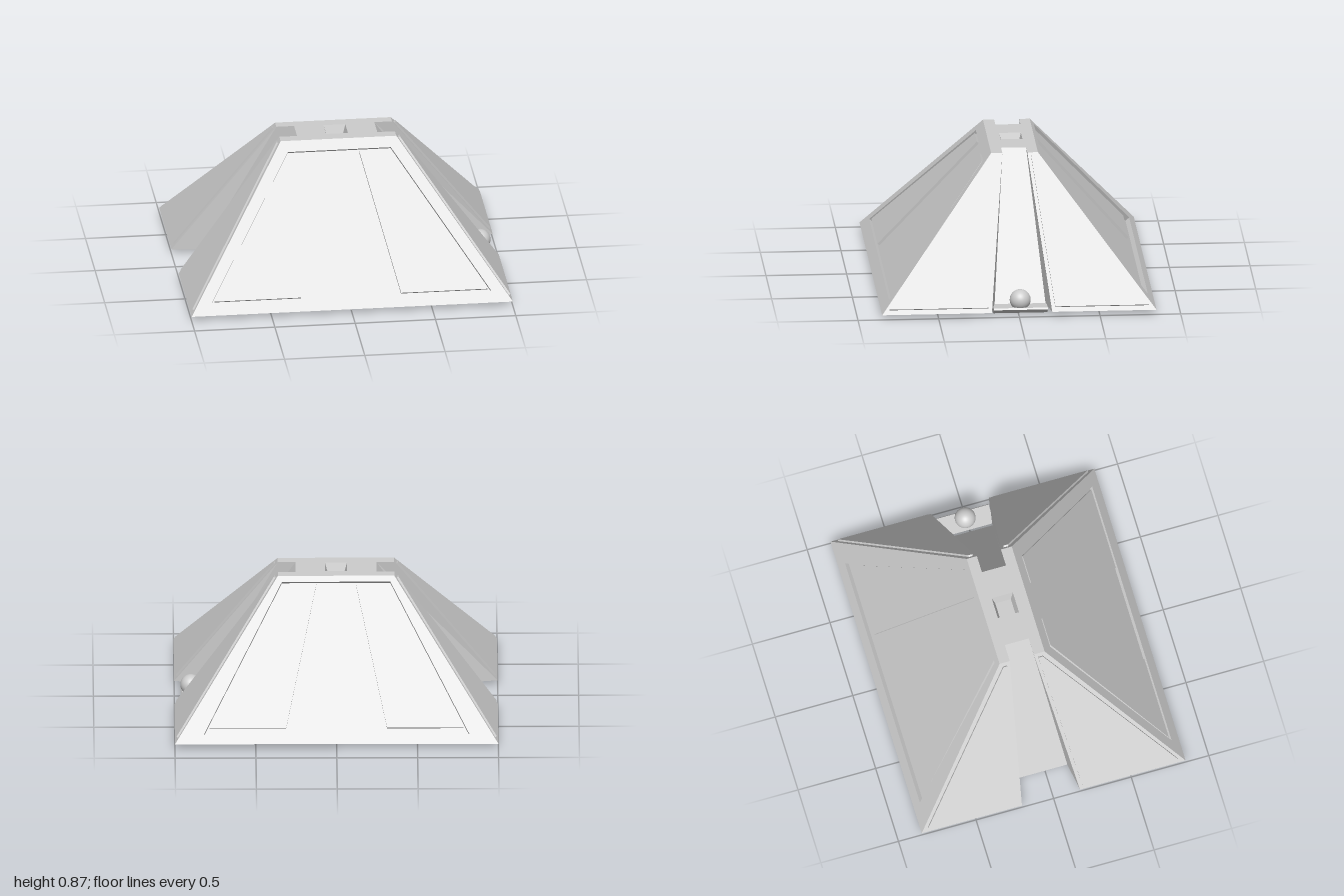
import * as THREE from 'three';

const V = (x, y, z) => new THREE.Vector3(x, y, z);
const LOW = 0.03, HIGH = 0.87, ZC = -0.017;
const TOP_X = 0.36, FRONT_Z = 0.13, BACK_Z = -0.16, BASE_Z = 0.85;

const material = new THREE.MeshStandardMaterial({ color: 0xcccccc, flatShading: true, side: THREE.DoubleSide });

// Adds a flat polygon (with optional holes) whose triangles all face the "out" direction
function face(out, pos, outline, holes = []) {
  const all = [outline, ...holes].flat();
  const n = V(0, 0, 0);
  outline.forEach((p, i) => n.add(p.clone().cross(outline[(i + 1) % outline.length])));
  n.normalize();
  const u = outline[1].clone().sub(outline[0]).normalize();
  const v = n.clone().cross(u);
  const flat = (p) => new THREE.Vector2(p.dot(u), p.dot(v));
  for (const t of THREE.ShapeUtils.triangulateShape(outline.map(flat), holes.map((h) => h.map(flat)))) {
    const [a, b, c] = t.map((i) => all[i]);
    const facing = b.clone().sub(a).cross(c.clone().sub(a)).dot(out);
    for (const p of facing < 0 ? [a, c, b] : [a, b, c]) pos.push(p.x, p.y, p.z);
  }
}

// Joins two matching loops with walls, facing away from (+1) or towards (-1) their middle
function walls(pos, a, b, sign) {
  const mid = V(0, 0, 0);
  a.forEach((p) => mid.addScaledVector(p, 1 / a.length));
  a.forEach((p, i) => {
    const j = (i + 1) % a.length;
    const out = p.clone().add(a[j]).multiplyScalar(0.5).sub(mid).multiplyScalar(sign);
    face(out, pos, [p, a[j], b[j], b[i]]);
  });
}

const shift = (pts, n, d) => pts.map((p) => p.clone().addScaledVector(n, d));

function mesh(name, pos) {
  const g = new THREE.BufferGeometry();
  g.setAttribute('position', new THREE.Float32BufferAttribute(pos, 3));
  g.computeVertexNormals();
  const m = new THREE.Mesh(g, material);
  m.name = name;
  return m;
}

// Raised plate on a sloping face
function plate(name, pts, n, height) {
  const pos = [], top = shift(pts, n, height);
  face(n, pos, top);
  walls(pos, top, pts, 1);
  return mesh(name, pos);
}

export function createModel() {
  const group = new THREE.Group();
  const body = [];

  // Notched outline shared by the roof and the underside
  const notched = (y, x, inner, zf, zb, w, wInner) => [
    V(x, y, zf), V(x, y, ZC + w), V(inner, y, ZC + wInner), V(inner, y, ZC - wInner), V(x, y, ZC - w), V(x, y, zb),
    V(-x, y, zb), V(-x, y, ZC - w), V(-inner, y, ZC - wInner), V(-inner, y, ZC + wInner), V(-x, y, ZC + w), V(-x, y, zf),
  ];
  const roof = notched(HIGH, TOP_X, 0.25, FRONT_Z, BACK_Z, 0.0775, 0.0775);
  const base = notched(LOW, 1, 0.82, BASE_Z, -BASE_Z, 0.187, 0.158);

  // Roof with a small tapered socket
  const square = (r, y) => [[-1, -1], [1, -1], [1, 1], [-1, 1]].map(([x, z]) => V(x * r, y, ZC + z * r));
  const rim = square(0.068, HIGH), pit = square(0.05, HIGH - 0.06);
  face(V(0, 1, 0), body, roof, [rim]);
  walls(body, rim, pit, -1);
  face(V(0, 1, 0), body, pit);
  face(V(0, -1, 0), body, base);

  // Sloping ends, each split by a channel that widens downwards
  for (const [s, o] of [[1, 0], [-1, 6]]) {
    const quad = (out, i) => face(out, body, [roof[o + i], roof[o + i + 1], base[o + i + 1], base[o + i]]);
    quad(V(s, 0.7, 0), 0);
    quad(V(0, 0, -s), 1);
    quad(V(s, 0.7, 0), 2);
    quad(V(0, 0, s), 3);
    quad(V(s, 0.7, 0), 4);
  }

  // Front and back slopes: recessed field with two raised side panels
  const slopes = [
    { name: 'front', s: 1, z: FRONT_Z, top: [0.815, 0.32], low: [0.09, 0.87], pTop: [0.803, 0.305], pLow: [0.1, 0.85], depth: 0.02 },
    { name: 'back', s: -1, z: BACK_Z, top: [0.84, 0.335], low: [0.08, 0.82], pTop: [0.83, 0.31], pLow: [0.115, 0.785], depth: 0.03 },
  ];
  for (const f of slopes) {
    const at = (x, y) => V(x, y, THREE.MathUtils.mapLinear(y, LOW, HIGH, f.s * BASE_Z, f.z));
    const n = V(0, Math.abs(f.s * BASE_Z - f.z), f.s * (HIGH - LOW)).normalize();
    const hole = [at(-f.top[1], f.top[0]), at(f.top[1], f.top[0]), at(f.low[1], f.low[0]), at(-f.low[1], f.low[0])];
    const floor = shift(hole, n, -f.depth);
    face(n, body, [at(-TOP_X, HIGH), at(TOP_X, HIGH), at(1, LOW), at(-1, LOW)], [hole]);
    walls(body, hole, floor, -1);
    face(n, body, floor);
    for (const m of [1, -1]) {
      const pts = [at(m * 0.123, f.pTop[0]), at(m * f.pTop[1], f.pTop[0]), at(m * f.pLow[1], f.pLow[0]), at(m * 0.312, f.pLow[0])];
      group.add(plate(f.name + (m > 0 ? 'LeftPanel' : 'RightPanel'), shift(pts, n, -f.depth), n, 0.016));
    }
  }
  group.add(mesh('body', body));

  // Thin raised panels beside each channel
  for (const s of [1, -1]) {
    const at = (y, z) => V(s * THREE.MathUtils.mapLinear(y, LOW, HIGH, 1, TOP_X), y, z);
    const n = V(s * (HIGH - LOW), 1 - TOP_X, 0).normalize();
    for (const [name, zs] of [['Front', [0.083, 0.112, 0.805, 0.19]], ['Back', [-0.117, -0.142, -0.805, -0.224]]]) {
      const pts = [at(0.85, zs[0]), at(0.85, zs[1]), at(0.055, zs[2]), at(0.055, zs[3])];
      group.add(plate((s > 0 ? 'left' : 'right') + name + 'EndPanel', pts, n, 0.012));
    }
  }

  // Keel-shaped ledge and ball at the foot of the left channel
  const keel = new THREE.Shape([[0.83, 0.037], [0.905, 0], [0.96, 0.035], [0.953, 0.045]].map((p) => new THREE.Vector2(...p)));
  const ledge = new THREE.Mesh(new THREE.ExtrudeGeometry(keel, { depth: 0.335, bevelEnabled: false }), material);
  ledge.position.z = -0.18;
  ledge.name = 'ledge';
  const smooth = new THREE.MeshStandardMaterial({ color: 0xcccccc });
  const ball = new THREE.Mesh(new THREE.SphereGeometry(0.065, 32, 20), smooth);
  ball.position.set(0.898, 0.083, -0.012);
  ball.name = 'ball';
  group.add(ledge, ball);
  return group;
}
